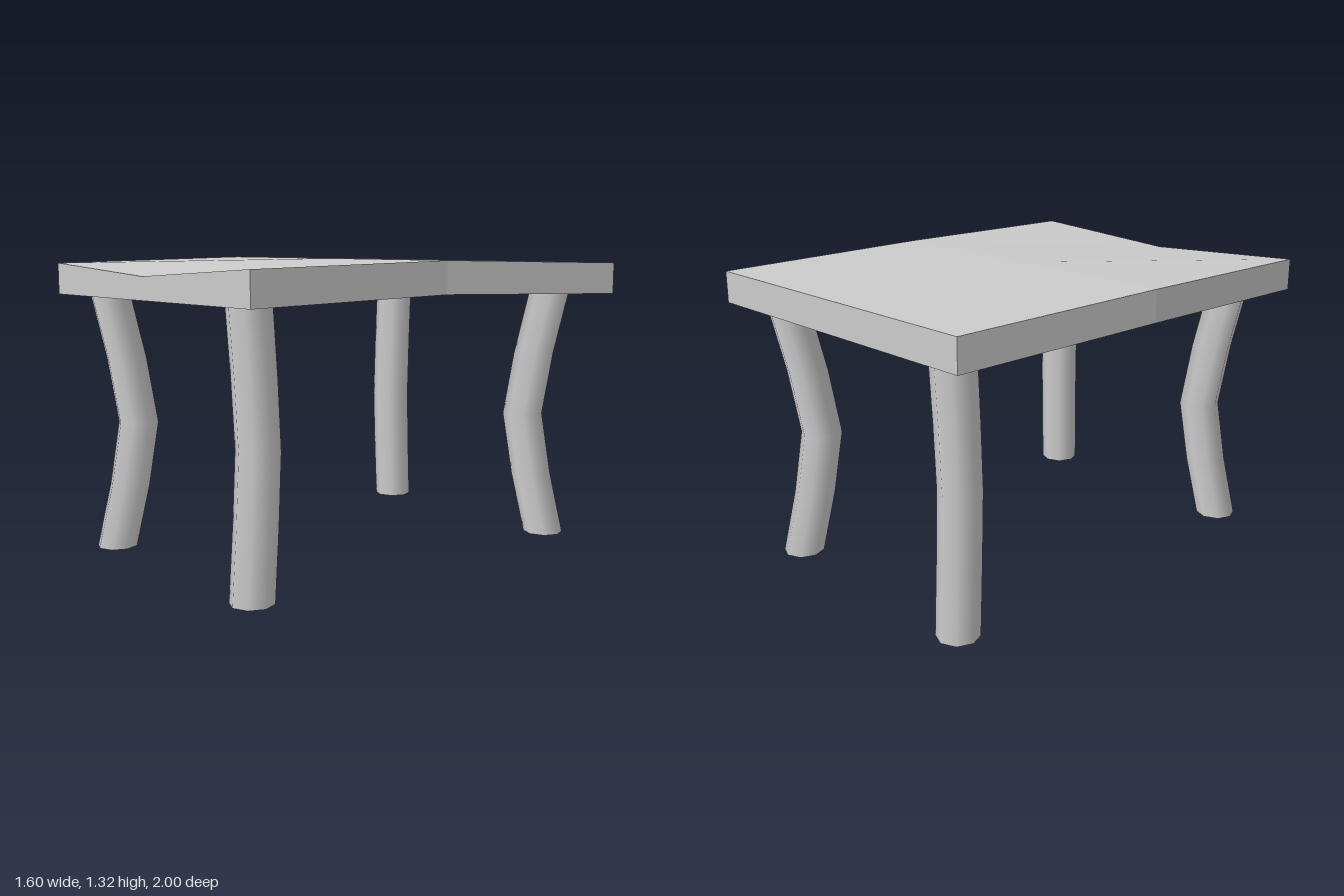
import * as THREE from 'three';

const material = (options = {}) => new THREE.MeshStandardMaterial({ color: 0xcccccc, ...options });

// Slab with an uneven outline, a gentle crown and a dip in the front edge
function createTabletop() {
  const rows = {
    '-1': { left: -0.73, right: 0.8, bottom: 1.157, top: 1.298 },
    '0': { left: -0.8, right: 0.72, bottom: 1.178, top: 1.318 },
    '1': { left: -0.78, right: 0.745, bottom: 1.157, top: 1.298 },
  };
  const geometry = new THREE.BoxGeometry(2, 2, 2, 2, 1, 2);
  const p = geometry.attributes.position;
  for (let i = 0; i < p.count; i++) {
    const x = p.getX(i), y = p.getY(i), z = p.getZ(i);
    const row = rows[Math.round(z)];
    const dip = z > 0.5 && y > 0 && Math.abs(x) < 0.5 ? 0.043 : 0;
    p.setX(i, THREE.MathUtils.lerp(row.left, row.right, (x + 1) / 2));
    p.setY(i, (y > 0 ? row.top : row.bottom) - dip);
  }
  geometry.computeVertexNormals();
  const top = new THREE.Mesh(geometry, material({ flatShading: true }));
  top.name = 'tabletop';
  return top;
}

// Open eight-sided tube whose middle bends in towards the table's centre
function createLeg(sx, sz) {
  const height = 1.162;
  const bend = [0, 0.042, 0.072, 0.042, 0];
  const geometry = new THREE.CylinderGeometry(0.092, 0.092, height, 8, 4, true);
  geometry.translate(0, height / 2, 0);
  const p = geometry.attributes.position;
  for (let i = 0; i < p.count; i++) {
    const inward = bend[Math.round((p.getY(i) / height) * 4)];
    p.setX(i, p.getX(i) - sx * inward);
    p.setZ(i, p.getZ(i) - sz * inward * 1.2);
  }
  const leg = new THREE.Mesh(geometry, material({ side: THREE.DoubleSide }));
  leg.position.set(sx * 0.542 - 0.005, 0, sz * 0.862);
  leg.name = (sz > 0 ? 'front' : 'back') + (sx > 0 ? 'Left' : 'Right') + 'Leg';
  return leg;
}

export function createModel() {
  const table = new THREE.Group();
  table.name = 'table';
  table.add(createTabletop());
  for (const sx of [-1, 1]) for (const sz of [-1, 1]) table.add(createLeg(sx, sz));
  return table;
}
